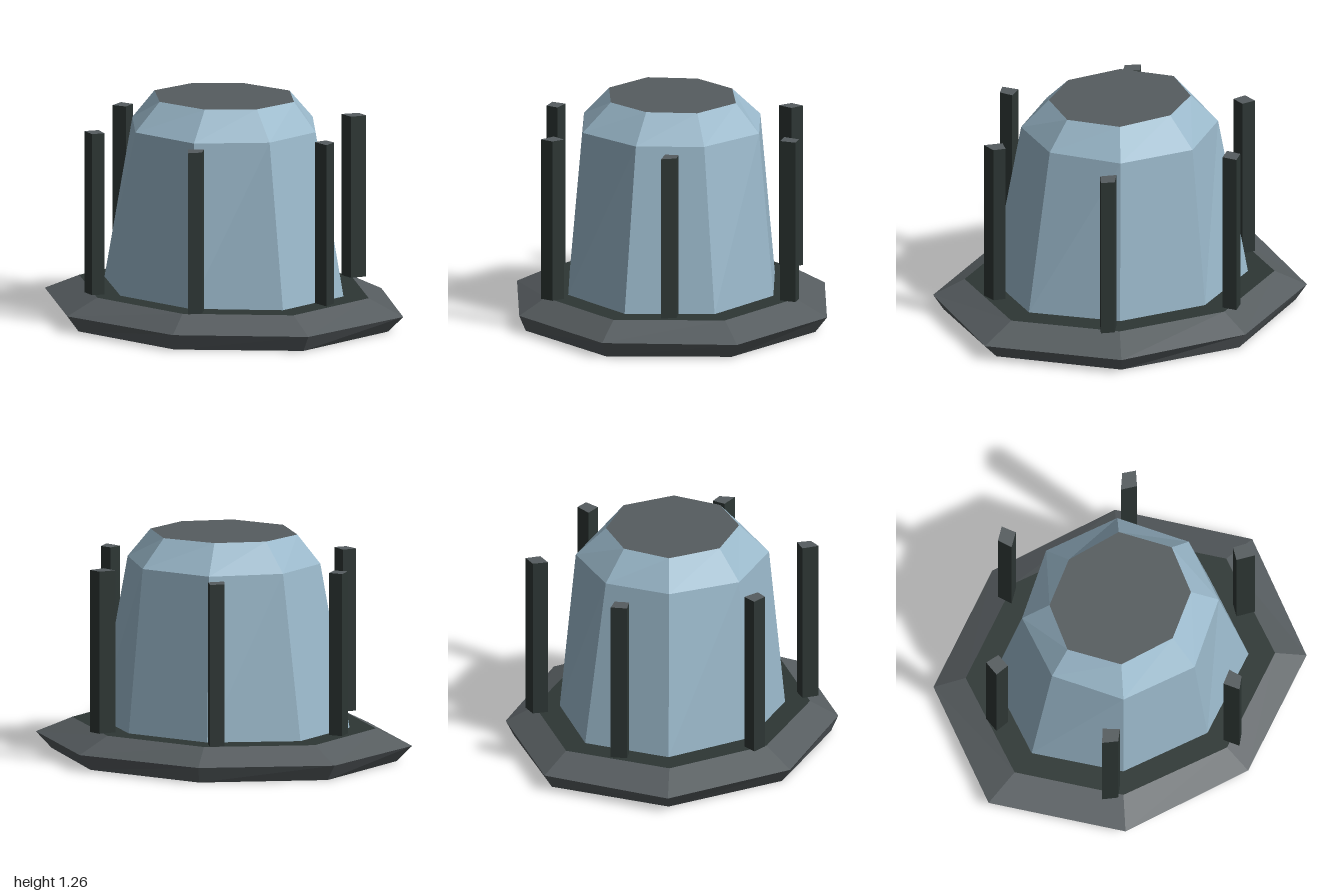
import * as THREE from 'three';

// Corners [x, z], counter-clockwise from above; each ring is [y, corners].
// Material groups: 0 = sides, 1 = top cap, 2 = bottom cap.
function loft(name, rings, sides, top, bottom) {
  const pos = [];
  const geo = new THREE.BufferGeometry();
  const point = ([y, pts], i) => {
    const [x, z] = pts[i % pts.length];
    return [x, y, z];
  };
  const n = rings[0][1].length;
  for (let r = 0; r < rings.length - 1; r++) {
    for (let i = 0; i < n; i++) {
      const a = point(rings[r], i), b = point(rings[r], i + 1);
      const c = point(rings[r + 1], i + 1), d = point(rings[r + 1], i);
      pos.push(...a, ...b, ...c, ...a, ...c, ...d);
    }
  }
  const sideCount = pos.length / 3, capCount = (n - 2) * 3;
  const last = rings[rings.length - 1];
  for (let i = 1; i < n - 1; i++) pos.push(...point(last, 0), ...point(last, i), ...point(last, i + 1));
  for (let i = 1; i < n - 1; i++) pos.push(...point(rings[0], 0), ...point(rings[0], i + 1), ...point(rings[0], i));
  geo.setAttribute('position', new THREE.Float32BufferAttribute(pos, 3));
  geo.addGroup(0, sideCount, 0);
  geo.addGroup(sideCount, capCount, 1);
  geo.addGroup(sideCount + capCount, capCount, 2);
  geo.computeVertexNormals();
  const mesh = new THREE.Mesh(geo, [sides, top, bottom]);
  mesh.name = name;
  return mesh;
}

// Symmetric octagon from its two corner types
const octagon = (xo, zi, xi, zo) => [
  [xo, -zi], [xi, -zo], [-xi, -zo], [-xo, -zi],
  [-xo, zi], [-xi, zo], [xi, zo], [xo, zi],
];

export function createModel() {
  const glass = new THREE.MeshStandardMaterial({ color: 0x9ab8ca });
  const grey = new THREE.MeshStandardMaterial({ color: 0x565c5f });
  const dark = new THREE.MeshStandardMaterial({ color: 0x2d3634 });
  glass.name = 'pale blue glass';
  grey.name = 'grey metal';
  dark.name = 'dark metal';

  const model = new THREE.Group();
  model.name = 'cagedLamp';

  // Slightly uneven bevelled base
  const rim = [
    [1, -0.38], [0.39, -0.87], [-0.38, -0.845], [-0.975, -0.37],
    [-1, 0.38], [-0.39, 0.865], [0.38, 0.84], [0.97, 0.37],
  ];
  model.add(loft('base', [
    [0, octagon(0.915, 0.35, 0.36, 0.805)],
    [0.09, rim],
    [0.18, octagon(0.805, 0.31, 0.32, 0.695)],
  ], grey, dark, dark));

  // Tapered glass dome with a flat grey lid
  const lid = [
    [0.39, -0.15], [0.165, -0.36], [-0.155, -0.335], [-0.37, -0.14],
    [-0.395, 0.14], [-0.165, 0.35], [0.16, 0.335], [0.37, 0.135],
  ];
  model.add(loft('dome', [
    [0.18, octagon(0.67, 0.25, 0.26, 0.57)],
    [1.1, octagon(0.515, 0.19, 0.22, 0.49)],
    [1.26, lid],
  ], glass, grey, dark));

  // Six crooked posts around the dome
  const posts = [
    [[-0.81, -0.04], [-0.79, 0.05], [-0.71, 0.03], [-0.73, -0.05]],
    [[0.72, -0.05], [0.705, 0.025], [0.81, 0.045], [0.79, -0.04]],
    [[-0.40, 0.595], [-0.44, 0.67], [-0.355, 0.70], [-0.315, 0.64]],
    [[0.385, 0.59], [0.32, 0.65], [0.385, 0.72], [0.43, 0.655]],
    [[-0.38, -0.725], [-0.435, -0.66], [-0.385, -0.59], [-0.325, -0.66]],
    [[0.36, -0.715], [0.31, -0.63], [0.40, -0.61], [0.435, -0.695]],
  ];
  posts.forEach((corners, i) => {
    model.add(loft(`post${i + 1}`, [[0.19, corners], [1.105, corners]], dark, grey, dark));
  });

  return model;
}
